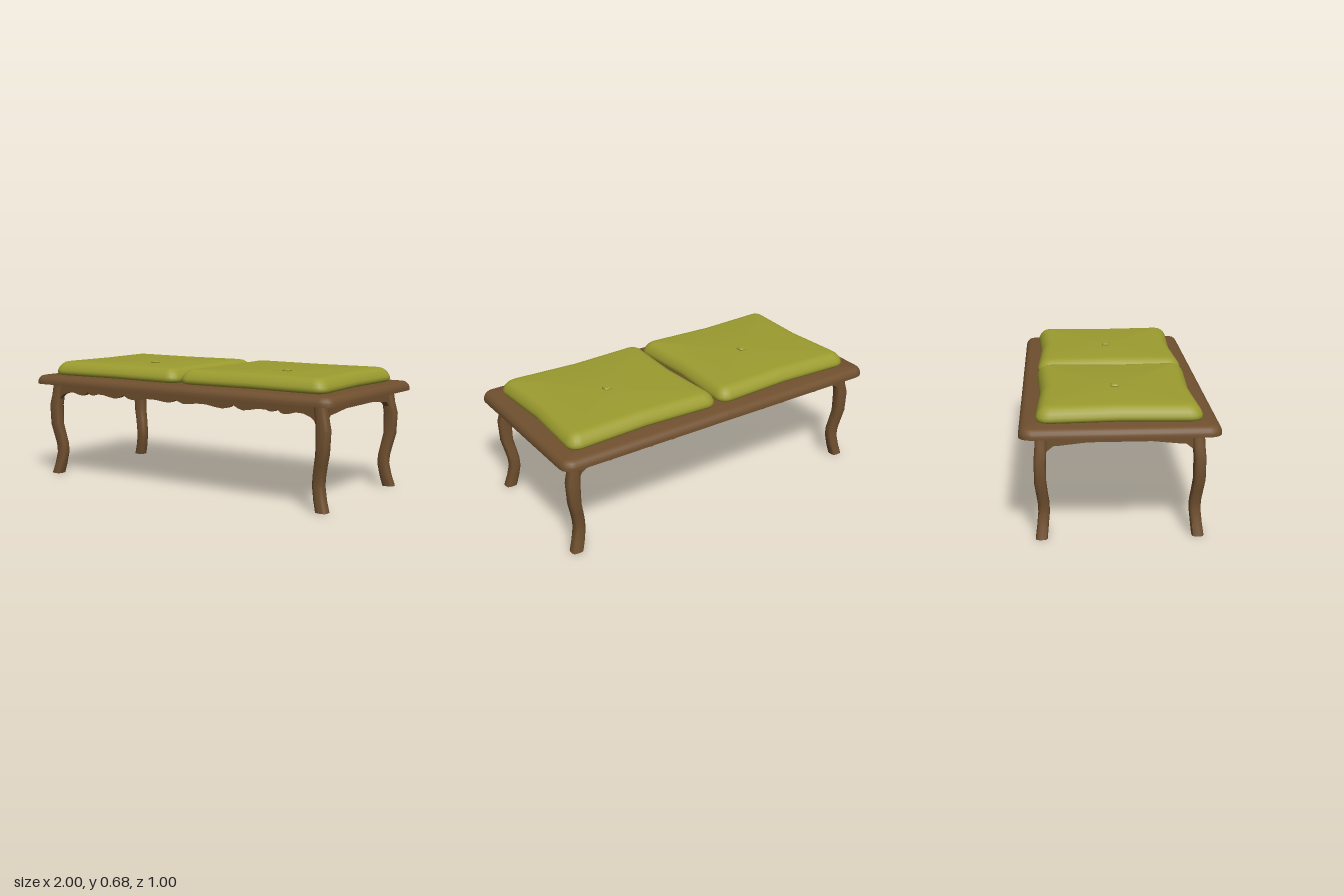
import * as THREE from 'three';
import { toCreasedNormals } from 'three/addons/utils/BufferGeometryUtils.js';

const wood = new THREE.MeshStandardMaterial({ color: 0x70502f });
const fabric = new THREE.MeshStandardMaterial({ color: 0x9c9c30 });

// Rounded rectangle outline at height y; bow pulls the middle of each side inwards
function ring(hw, hd, r, y, cx = 0, cz = 0, seg = 4, bow = 0) {
  const pts = [];
  const add = (x, z) => pts.push([
    cx + x * (1 - (bow / hw) * (1 - Math.abs(z) / hd)), y,
    cz + z * (1 - (bow / hd) * (1 - Math.abs(x) / hw))]);
  const corners = [[1, 1], [-1, 1], [-1, -1], [1, -1]];
  corners.forEach(([sx, sz], c) => {
    for (let i = 0; i <= seg; i++) {
      const a = (c + i / seg) * Math.PI / 2;
      add(sx * (hw - r) + r * Math.cos(a), sz * (hd - r) + r * Math.sin(a));
    }
    // midpoint of the following side
    if (c % 2 === 0) add(0, sz * hd);
    else add(sx * hw, 0);
  });
  return pts;
}

// Skin a stack of rings from bottom to top and close both ends
function loft(rings, crease, topY) {
  const n = rings[0].length, pos = [], idx = [];
  rings.forEach(r => r.forEach(p => pos.push(...p)));
  for (let i = 0; i < rings.length - 1; i++) {
    for (let j = 0; j < n; j++) {
      const k = (j + 1) % n;
      const a = i * n + j, b = i * n + k, c = b + n, d = a + n;
      idx.push(a, d, c, a, c, b);
    }
  }
  const cap = (row, up, y) => {
    const mid = [0, 1, 2].map(q => rings[row].reduce((s, p) => s + p[q], 0) / n);
    const m = pos.length / 3;
    pos.push(mid[0], y ?? mid[1], mid[2]);
    for (let j = 0; j < n; j++) {
      const a = row * n + j, b = row * n + (j + 1) % n;
      idx.push(m, up ? b : a, up ? a : b);
    }
  };
  cap(0, false);
  cap(rings.length - 1, true, topY);
  const g = new THREE.BufferGeometry();
  g.setAttribute('position', new THREE.Float32BufferAttribute(pos, 3));
  g.setIndex(idx);
  return toCreasedNormals(g, crease);
}

function part(parent, name, geometry, material) {
  const mesh = new THREE.Mesh(geometry, material);
  mesh.name = name;
  parent.add(mesh);
  return mesh;
}

// Apron board from one half of its lower edge, mirrored about the middle
function apron(half, top) {
  const full = [...half.map(([x, y]) => [-x, y]), ...half.slice(0, -1).reverse()];
  const end = half[0][0];
  const shape = new THREE.Shape([[-end, top], ...full, [end, top]].map(p => new THREE.Vector2(...p)));
  const g = new THREE.ExtrudeGeometry(shape, { depth: 0.03, bevelEnabled: false });
  return toCreasedNormals(g.translate(0, 0, -0.015), 0.6);
}

export function createModel() {
  const model = new THREE.Group();
  model.name = 'bench';

  // Seat board with a rounded upper edge
  const edge = [[0, 0.55], [0, 0.565], [0.004, 0.577], [0.012, 0.588], [0.022, 0.596], [0.036, 0.6]];
  part(model, 'seatBoard', loft(edge.map(([i, y]) => ring(1 - i, 0.5 - i, 0.065 - i, y)), 0.7), wood);

  // Scalloped long aprons and arched short aprons
  const longEdge = [[0.9, 0.44], [0.875, 0.45], [0.862, 0.472], [0.84, 0.487], [0.8, 0.5], [0.76, 0.502],
    [0.72, 0.492], [0.69, 0.488], [0.67, 0.493], [0.65, 0.51], [0.63, 0.498], [0.61, 0.494], [0.58, 0.503],
    [0.53, 0.503], [0.48, 0.493], [0.44, 0.488], [0.41, 0.495], [0.375, 0.512], [0.345, 0.495], [0.31, 0.488],
    [0.27, 0.491], [0.2, 0.502], [0.14, 0.502], [0.08, 0.494], [0.045, 0.494], [0.02, 0.502], [0, 0.512]];
  const shortEdge = [[0.39, 0.44], [0.366, 0.46], [0.33, 0.49], [0.3, 0.492], [0.16, 0.507], [0, 0.507]];
  for (const s of [1, -1]) {
    part(model, s > 0 ? 'frontApron' : 'backApron', apron(longEdge, 0.552), wood).position.z = s * 0.398;
    const side = part(model, s > 0 ? 'leftApron' : 'rightApron', apron(shortEdge, 0.552), wood);
    side.position.x = s * 0.9;
    side.rotation.y = Math.PI / 2;
  }

  // Cabriole legs: [y, centre x, centre z, half width, half depth]
  const legRows = [[0, 0.911, 0.396, 0.033, 0.03], [0.06, 0.894, 0.389, 0.032, 0.029],
    [0.13, 0.881, 0.382, 0.031, 0.029], [0.18, 0.884, 0.383, 0.032, 0.029], [0.24, 0.896, 0.391, 0.033, 0.029],
    [0.3, 0.909, 0.398, 0.034, 0.03], [0.42, 0.912, 0.398, 0.037, 0.03], [0.48, 0.901, 0.393, 0.033, 0.03],
    [0.552, 0.89, 0.39, 0.033, 0.03]];
  for (const sx of [1, -1]) for (const sz of [1, -1]) {
    const rings = legRows.map(([y, x, z, w, d]) => ring(w, d, 0.018, y, sx * x, sz * z, 2));
    part(model, (sz > 0 ? 'front' : 'back') + (sx > 0 ? 'Left' : 'Right') + 'Leg', loft(rings, 0.8), wood);
  }

  // Pillowy cushions, pinched along their sides and dipping to a central button
  const pad = [[0.025, 0.598], [0.006, 0.606], [0, 0.618], [0.003, 0.632], [0.012, 0.65],
    [0.026, 0.666], [0.043, 0.677], [0.066, 0.681]];
  for (const s of [1, -1]) {
    const cushion = new THREE.Group();
    cushion.name = s > 0 ? 'leftCushion' : 'rightCushion';
    cushion.position.x = s * 0.464;
    const rings = pad.map(([i, y]) => ring(0.457 - i, 0.42 - i, 0.07 - i * 0.6, y, 0, 0, 5, 0.022));
    part(cushion, 'pad', loft(rings, 1, 0.664), fabric);
    const button = [[0.02, 0.655], [0.022, 0.67], [0.017, 0.677]];
    part(cushion, 'button', loft(button.map(([h, y]) => ring(h, h, 0.006, y, 0, 0, 2)), 0.6), fabric);
    model.add(cushion);
  }
  return model;
}
